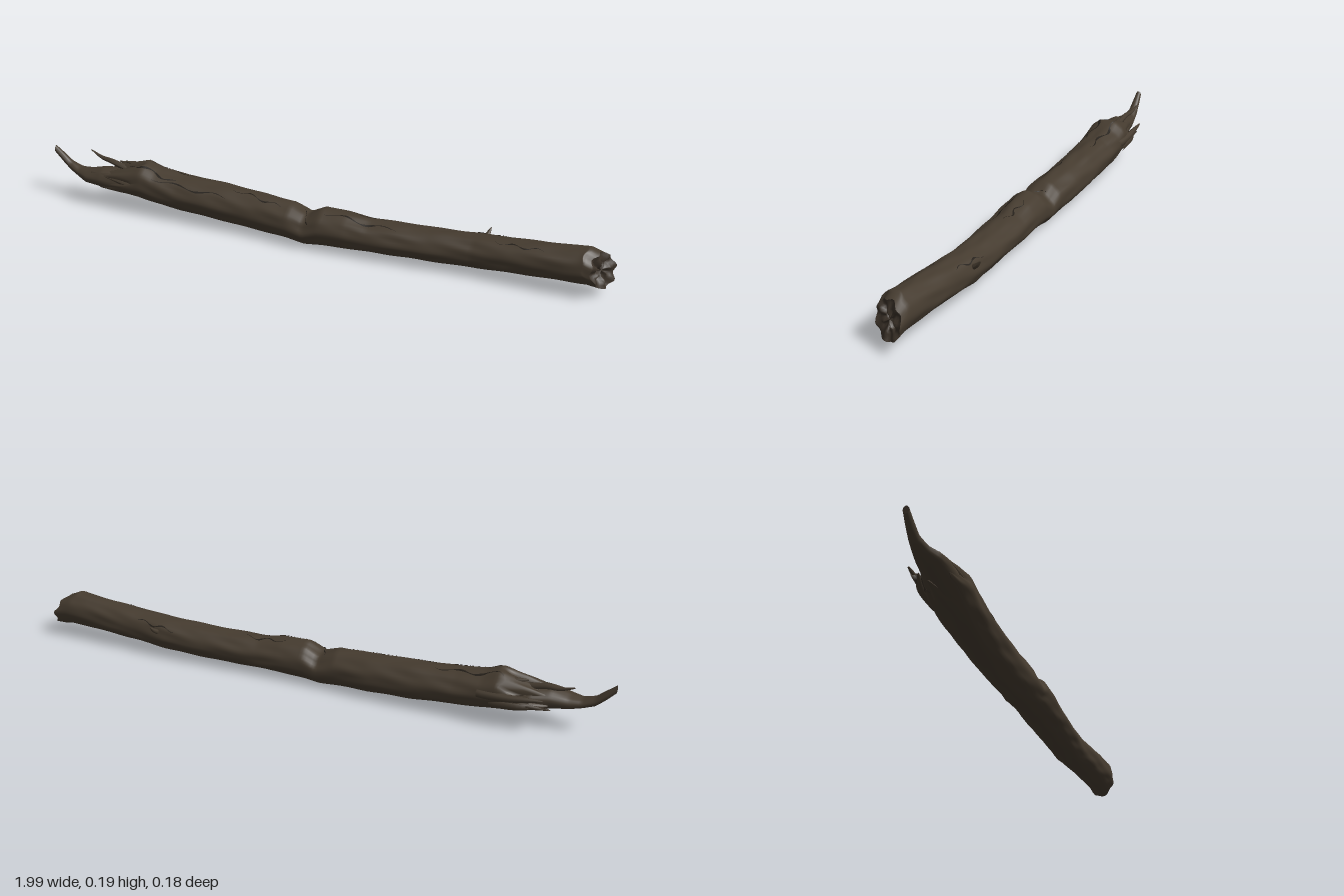
import * as THREE from 'three';

const bark = new THREE.MeshStandardMaterial({ color: 0x453b2f });
bark.name = 'bark';
const brokenWood = new THREE.MeshStandardMaterial({ color: 0x3a3128, side: THREE.DoubleSide });
brokenWood.name = 'broken wood';
const crevice = new THREE.MeshStandardMaterial({ color: 0x231e18, side: THREE.DoubleSide });
crevice.name = 'dark crevice';

// Cross-sections: x, bottom, top, back, front
const trunkSections = [
  [-0.75, 0.066, 0.145, -0.07, 0.06], [-0.7, 0.057, 0.165, -0.08, 0.066],
  [-0.64, 0.05, 0.186, -0.083, 0.068], [-0.59, 0.043, 0.168, -0.083, 0.068],
  [-0.5, 0.034, 0.155, -0.08, 0.067], [-0.35, 0.021, 0.15, -0.076, 0.066],
  [-0.2, 0.012, 0.142, -0.07, 0.07], [-0.08, 0.007, 0.135, -0.06, 0.08],
  [-0.02, 0.004, 0.111, -0.056, 0.084], [0.03, 0.007, 0.14, -0.055, 0.085],
  [0.12, 0.012, 0.137, -0.055, 0.084], [0.2, 0.015, 0.127, -0.056, 0.08],
  [0.4, 0.019, 0.13, -0.058, 0.07], [0.55, 0.024, 0.137, -0.06, 0.063],
  [0.66, 0.032, 0.144, -0.053, 0.07], [0.85, 0.042, 0.16, -0.045, 0.074],
  [0.93, 0.044, 0.169, -0.042, 0.073], [0.97, 0.038, 0.155, -0.04, 0.07],
];
const tongueSections = [
  [-1, 0.166, 0.192, -0.009, 0.011], [-0.97, 0.135, 0.168, -0.013, 0.014],
  [-0.94, 0.108, 0.142, -0.016, 0.018], [-0.9, 0.092, 0.127, -0.022, 0.032],
  [-0.86, 0.08, 0.13, -0.03, 0.052], [-0.8, 0.072, 0.145, -0.04, 0.058],
  [-0.74, 0.064, 0.143, -0.055, 0.06], [-0.66, 0.057, 0.13, -0.055, 0.056],
];

function sectionAt(list, x) {
  let i = 0;
  while (i < list.length - 2 && x > list[i + 1][0]) i++;
  const t = (x - list[i][0]) / (list[i + 1][0] - list[i][0]);
  return list[i].map((v, k) => THREE.MathUtils.lerp(v, list[i + 1][k], t));
}

// Long wood grain with a few knots and lumps
function grain(x, a) {
  const twist = a + 0.25 * Math.sin(x * 5);
  return 0.975 + 0.025 * Math.sin(twist * 5 + x * 4) * Math.sin(x * 9 + a)
    + 0.016 * Math.sin(twist * 9 - x * 7) + 0.012 * Math.sin(x * 41 + Math.sin(a * 3) * 3);
}

// Point on a lofted surface; s scales toward the core
function skin(list, x, a, s = 1, jag = 0) {
  const [, y0, y1, z0, z1] = sectionAt(list, x);
  const r = s * grain(x, a);
  const p = new THREE.Vector3(x,
    (y0 + y1) / 2 + Math.cos(a) * r * (y1 - y0) / 2,
    (z0 + z1) / 2 + Math.sin(a) * r * (z1 - z0) / 2);
  if (jag) {
    // Slanted cut at one end, splintered break at the other
    const cut = THREE.MathUtils.smoothstep(x, 0.88, 0.97);
    p.x += cut * (-0.5 * p.z + 0.25 * (0.09 - p.y) + 0.006 * Math.sin(a * 7));
    const split = 1 - THREE.MathUtils.smoothstep(x, -0.75, -0.62);
    p.x += split * s * (0.035 * Math.sin(a * 5 + 1) + 0.022 * Math.sin(a * 11));
  }
  p.x = Math.min(1, p.x);
  return p;
}

// Grid of points rows x columns; columns run round the section
function gridGeometry(rows, cols, point, closed) {
  const pos = [], idx = [], n = closed ? cols : cols + 1;
  for (let i = 0; i <= rows; i++)
    for (let j = 0; j < n; j++) pos.push(...point(i / rows, j / cols).toArray());
  for (let i = 0; i < rows; i++) {
    for (let j = 0; j < cols; j++) {
      const a = i * n + j, b = i * n + (j + 1) % n;
      idx.push(a, b, a + n, b, b + n, a + n);
    }
  }
  const g = new THREE.BufferGeometry();
  g.setAttribute('position', new THREE.Float32BufferAttribute(pos, 3));
  g.setIndex(idx);
  g.computeVertexNormals();
  return g;
}

function named(name, geometry, material) {
  const m = new THREE.Mesh(geometry, material);
  m.name = name;
  return m;
}

// Closed log piece: bark sleeve plus rough end faces
function logPiece(name, list, rows, cols, jag) {
  const group = new THREE.Group();
  group.name = name;
  const xa = list[0][0], xb = list[list.length - 1][0], turn = Math.PI * 2;
  group.add(named(name + 'Bark', gridGeometry(rows, cols,
    (u, v) => skin(list, THREE.MathUtils.lerp(xa, xb, u), v * turn, 1, jag), true), bark));
  [xa, xb].forEach((x, end) => {
    const cap = gridGeometry(6, cols, (u, v) => {
      const r = end ? 1 - u : u, a = v * turn;
      const p = skin(list, x, a, r, jag);
      const rough = Math.sin(a * 4 + r * 9) * r * (1 - r);
      p.x += (end ? -1 : 1) * jag * (0.012 * (1 - r) + 0.025 * rough);
      return p;
    }, true);
    group.add(named(name + (end ? 'RightEnd' : 'LeftEnd'), cap, brokenWood));
  });
  return group;
}

// Tapered splinter along a bent path
function splinter(name, points, radius) {
  const curve = new THREE.CatmullRomCurve3(points.map((p) => new THREE.Vector3(...p)));
  const g = new THREE.TubeGeometry(curve, 12, radius, 7, false);
  const pos = g.attributes.position, p = new THREE.Vector3();
  for (let i = 0; i < pos.count; i++) {
    const u = Math.floor(i / 8) / 12, c = curve.getPointAt(u);
    p.fromBufferAttribute(pos, i).sub(c).multiplyScalar(1 - 0.85 * u * u).add(c);
    pos.setXYZ(i, p.x, p.y, p.z);
  }
  g.computeVertexNormals();
  return named(name, g, bark);
}

// Thin dark crack lying on the bark: start x, end x, start angle, end angle, width
function crack(x0, x1, a0, a1, width) {
  return named('barkCrack', gridGeometry(24, 2, (u, v) => {
    const x = THREE.MathUtils.lerp(x0, x1, u);
    const a = THREE.MathUtils.lerp(a0, a1, u) + 0.1 * Math.sin(u * 13 + x0 * 20);
    const w = width * Math.sin(Math.PI * u) * (0.7 + 0.3 * Math.sin(u * 23));
    const p = skin(trunkSections, x, a, 1.02);
    p.x += (v - 0.5) * w * 0.4;
    p.z += (v - 0.5) * w * Math.cos(a);
    p.y -= (v - 0.5) * w * Math.sin(a);
    return p;
  }, false), crevice);
}

export function createModel() {
  const log = new THREE.Group();
  log.name = 'brokenLog';
  log.add(logPiece('trunk', trunkSections, 180, 48, 1));
  log.add(logPiece('brokenTongue', tongueSections, 50, 28, 0));

  // Loose splinters at the broken end and one twig stub on the back
  log.add(splinter('backSplinter', [[-0.58, 0.115, -0.07], [-0.68, 0.12, -0.078], [-0.74, 0.127, -0.08], [-0.79, 0.132, -0.08]], 0.016));
  log.add(splinter('lowerSplinter', [[-0.62, 0.09, -0.06], [-0.72, 0.095, -0.065], [-0.8, 0.1, -0.045]], 0.02));
  log.add(splinter('thinSplinter', [[-0.72, 0.14, -0.015], [-0.79, 0.157, -0.022], [-0.83, 0.16, -0.03], [-0.88, 0.178, -0.04]], 0.011));
  log.add(splinter('topSplinter', [[-0.6, 0.15, -0.02], [-0.68, 0.16, -0.025], [-0.73, 0.166, -0.02]], 0.015));
  log.add(splinter('frontSplinter', [[-0.66, 0.11, 0.045], [-0.76, 0.125, 0.04], [-0.84, 0.13, 0.034]], 0.017));
  log.add(splinter('twigStub', [[0.57, 0.1, -0.045], [0.575, 0.115, -0.065], [0.58, 0.13, -0.078]], 0.009));

  [[-0.7, -0.5, 0.3, 0.6, 0.012], [-0.66, -0.42, -0.4, -0.2, 0.01], [-0.6, -0.3, 0.75, 0.8, 0.007],
    [-0.045, 0.0, -0.6, 1.2, 0.016], [0.04, 0.3, 0.35, 0.5, 0.009], [0.1, 0.26, -0.3, -0.2, 0.007],
    [-0.3, -0.1, 0.2, 0.5, 0.007], [0.62, 0.78, 0.4, 0.6, 0.006], [0.5, 0.66, -0.9, -0.75, 0.007],
  ].forEach((c) => log.add(crack(...c)));
  return log;
}
